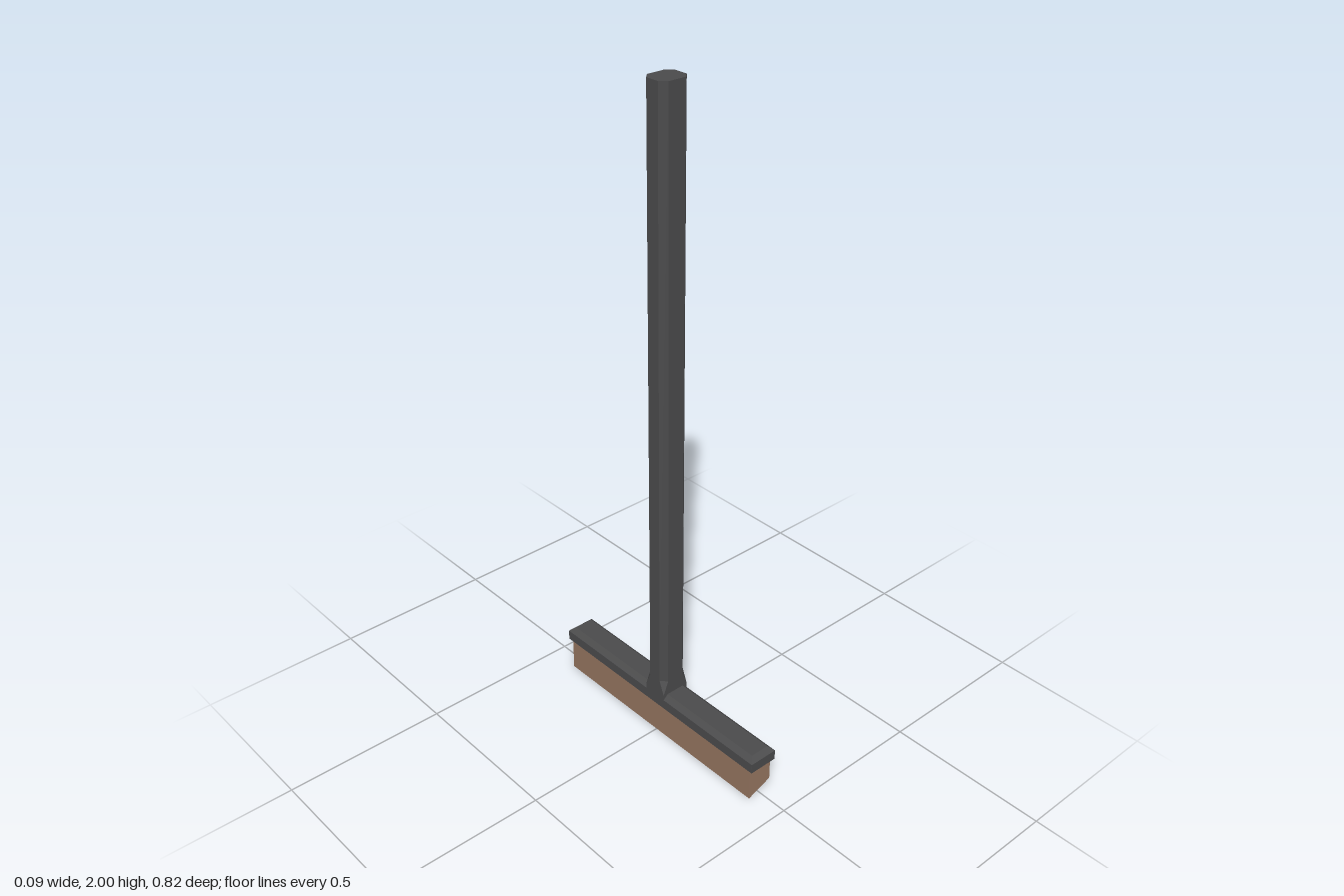
import * as THREE from 'three';

// Chamfered rectangle cross-section, counter-clockwise seen from above
function section(y, hx, hz, c) {
  return [
    [hx, hz - c], [hx, c - hz], [hx - c, -hz], [c - hx, -hz],
    [-hx, c - hz], [-hx, hz - c], [c - hx, hz], [hx - c, hz],
  ].map(([x, z]) => new THREE.Vector3(x, y, z));
}

// Faceted solid through a stack of cross-sections, capped at both ends
function loft(sections) {
  const points = [];
  const n = sections[0].length;
  const bottom = sections[0], top = sections[sections.length - 1];
  for (let s = 0; s < sections.length - 1; s++) {
    const a = sections[s], b = sections[s + 1];
    for (let i = 0; i < n; i++) {
      const j = (i + 1) % n;
      points.push(a[i], a[j], b[j], a[i], b[j], b[i]);
    }
  }
  for (let i = 1; i < n - 1; i++) {
    points.push(top[0], top[i], top[i + 1], bottom[0], bottom[i + 1], bottom[i]);
  }
  const geometry = new THREE.BufferGeometry().setFromPoints(points);
  geometry.computeVertexNormals();
  return geometry;
}

export function createModel() {
  const group = new THREE.Group();
  const darkGrey = new THREE.MeshStandardMaterial({ color: 0x4a4a4b, flatShading: true });
  darkGrey.name = 'dark grey';
  const brown = new THREE.MeshStandardMaterial({ color: 0x94745f, flatShading: true });
  brown.name = 'bristle brown';

  const add = (name, geometry, material) => {
    const mesh = new THREE.Mesh(geometry, material);
    mesh.name = name;
    group.add(mesh);
  };

  // Long eight-sided pole
  const hx = 0.046, hz = 0.039, chamfer = 0.018, sharp = 0.0002;
  add('handle', loft([section(0.2, hx, hz, chamfer), section(2, hx, hz, chamfer)]), darkGrey);

  // Square socket whose corners taper into the pole
  add('socket', loft([
    section(0.13, hx, hz, sharp),
    section(0.155, hx, hz, sharp),
    section(0.2, hx, hz, chamfer),
  ]), darkGrey);

  // Head block with a bevelled top
  add('head', loft([
    section(0.107, hx, 0.412, sharp),
    section(0.138, hx, 0.412, sharp),
    section(0.153, hx - 0.016, 0.396, sharp),
  ]), darkGrey);

  // Bristle block, cut at a slant along the bottom
  const profile = new THREE.Shape([
    new THREE.Vector2(-0.04, 0),
    new THREE.Vector2(0.04, 0.03),
    new THREE.Vector2(0.04, 0.108),
    new THREE.Vector2(-0.04, 0.108),
  ]);
  const bristles = new THREE.ExtrudeGeometry(profile, { depth: 0.8, bevelEnabled: false });
  bristles.translate(0, 0, -0.4);
  add('bristles', bristles, brown);

  return group;
}
